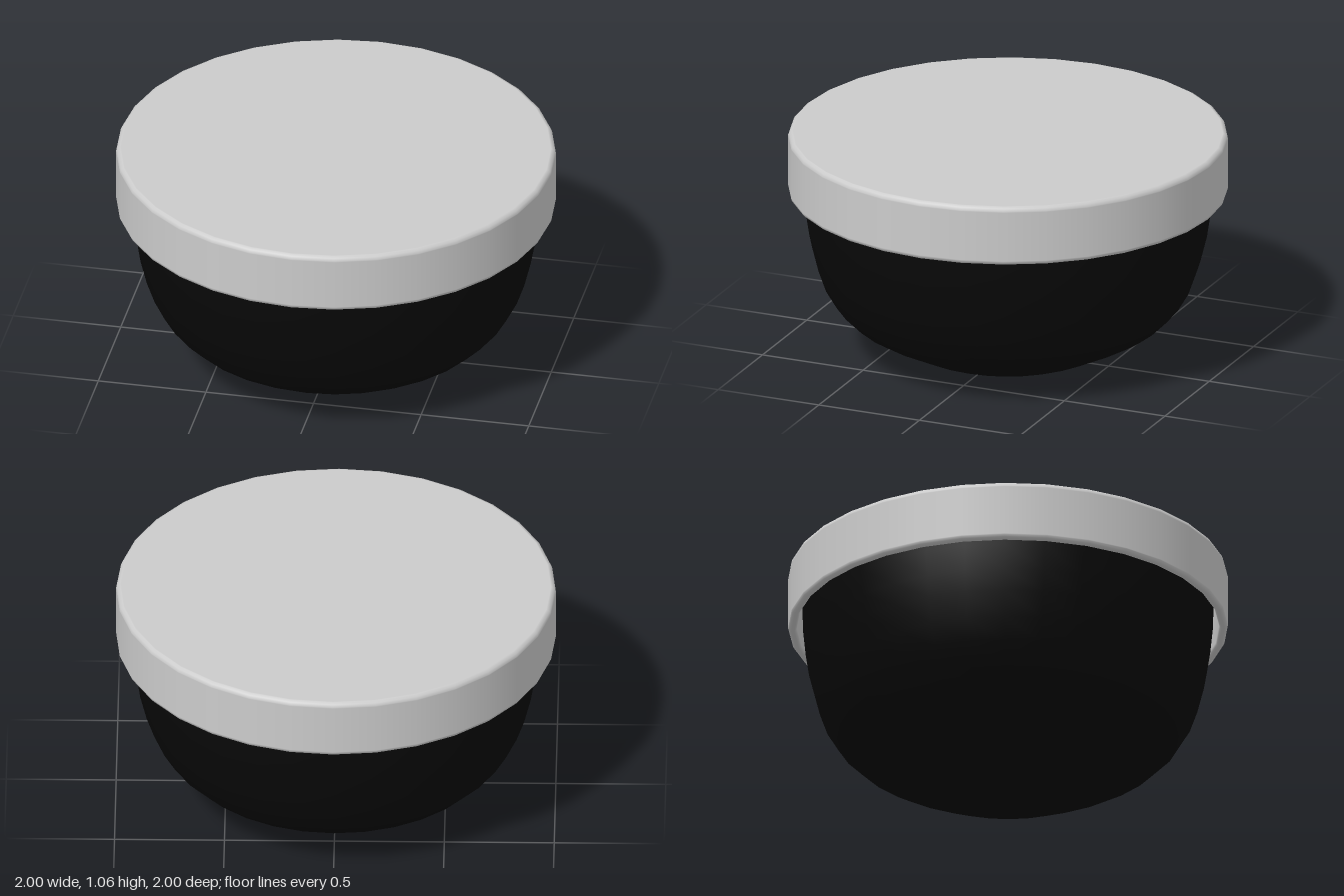
import * as THREE from 'three';

const SIDES = 32;

// Turns a list of [radius, height] pairs into a named round part
function turned(name, profile, color) {
  const points = profile.map(([r, y]) => new THREE.Vector2(r, y));
  const mesh = new THREE.Mesh(
    new THREE.LatheGeometry(points, SIDES),
    new THREE.MeshStandardMaterial({ color, side: THREE.DoubleSide })
  );
  mesh.name = name;
  return mesh;
}

export function createModel() {
  const group = new THREE.Group();
  group.name = 'liddedBowl';

  // Bowl: flat foot, shallow flare, then a steep wall running up into the lid
  group.add(turned('bowl', [
    [0, 0], [0.3, 0], [0.36, 0.012], [0.41, 0.025], [0.46, 0.045],
    [0.57, 0.1], [0.65, 0.14], [0.715, 0.18], [0.79, 0.255], [0.84, 0.34],
    [0.875, 0.44], [0.905, 0.56], [0.92, 0.66], [0.932, 0.78], [0.938, 1.0],
  ], 0x080808));

  // Lid: hollow cap with thin skirt; support points keep the flat areas flat
  group.add(turned('lid', [
    [0, 1.01], [0.955, 1.01], [0.96, 1.005], [0.96, 0.795],
    [0.965, 0.785], [0.972, 0.78], [0.985, 0.78], [0.995, 0.785],
    [1, 0.795], [1, 0.8], [1, 1.035], [1, 1.04], [0.995, 1.053],
    [0.983, 1.06], [0.978, 1.06], [0, 1.06],
  ], 0xcccccc));

  return group;
}
